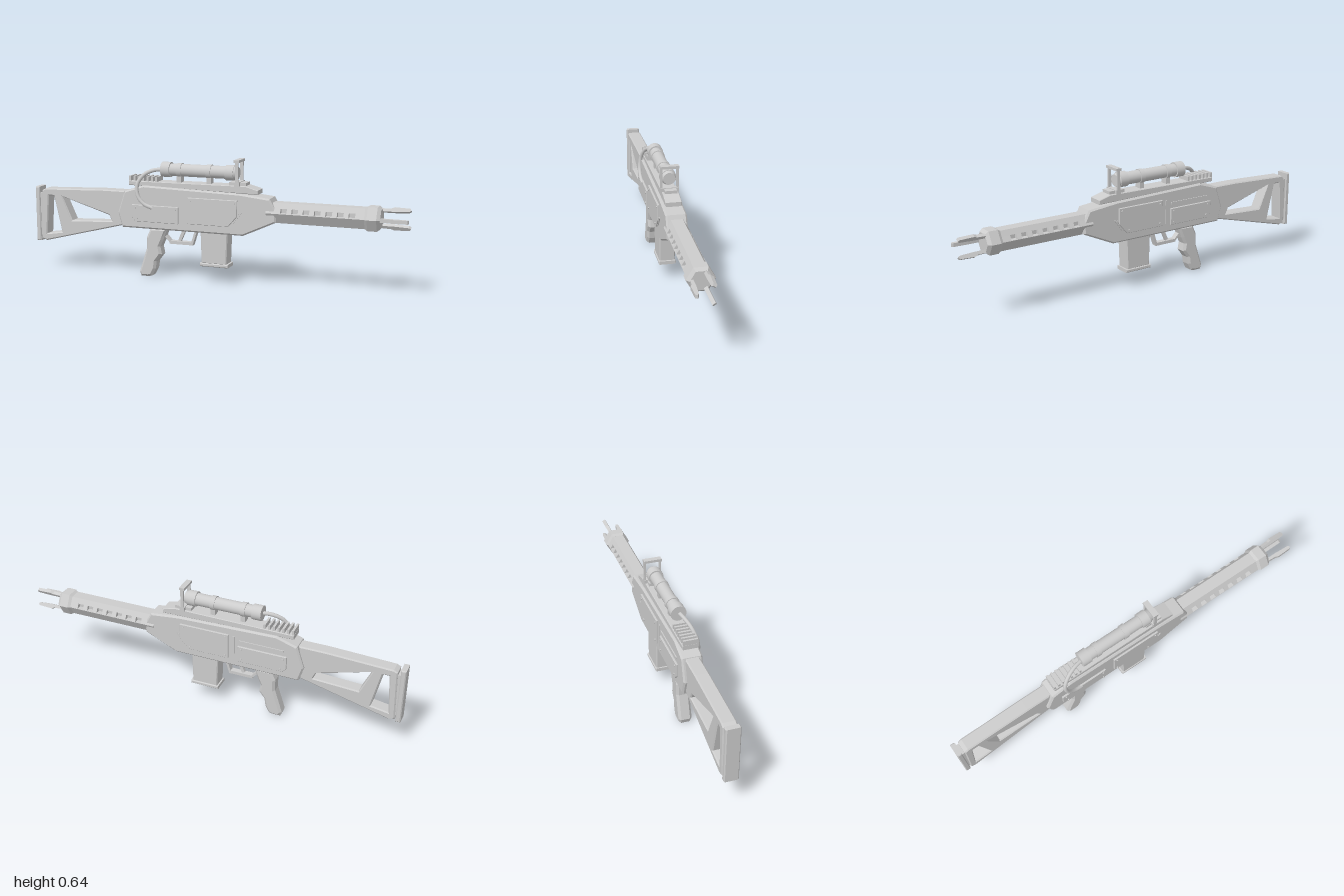
import * as THREE from 'three';

const grey = new THREE.MeshStandardMaterial({ color: 0xcccccc });
grey.name = 'light grey';

export function createModel() {
  const root = new THREE.Group();
  root.name = 'rifle';

  const add = (name, geo, x = 0, y = 0, z = 0) => {
    const m = new THREE.Mesh(geo, grey);
    m.name = name;
    m.position.set(x, y, z);
    root.add(m);
    return m;
  };
  // box given by its limits in x and y, and depth centred on z
  const box = (name, x0, x1, y0, y1, depth, z = 0) =>
    add(name, new THREE.BoxGeometry(x1 - x0, y1 - y0, depth), (x0 + x1) / 2, (y0 + y1) / 2, z);
  const path = pts => pts.map(p => new THREE.Vector2(p[0], p[1]));
  // side outline extruded along z with chamfered edges
  const slab = (name, pts, depth, bevel = 0, z = 0, holes = []) => {
    const s = new THREE.Shape(path(pts));
    holes.forEach(h => s.holes.push(new THREE.Path(path(h))));
    const g = new THREE.ExtrudeGeometry(s, {
      depth: depth - 2 * bevel, bevelEnabled: bevel > 0, bevelThickness: bevel,
      bevelSize: bevel, bevelOffset: -bevel, bevelSegments: 1, curveSegments: 6,
    });
    g.translate(0, 0, -(depth - 2 * bevel) / 2);
    return add(name, g, 0, 0, z);
  };
  // cross-section of (z, y) points extruded along x
  const prism = (name, pts, x0, x1) => {
    const s = new THREE.Shape(path(pts.map(p => [-p[0], p[1]])));
    const g = new THREE.ExtrudeGeometry(s, { depth: x1 - x0, bevelEnabled: false });
    g.rotateY(Math.PI / 2);
    return add(name, g, x0, 0, 0);
  };
  // thin bar between two points of a side view
  const bar = (name, a, b, thick, depth, z = 0) => {
    const dx = b[0] - a[0], dy = b[1] - a[1];
    const m = add(name, new THREE.BoxGeometry(Math.hypot(dx, dy) + thick * 0.5, thick, depth),
      (a[0] + b[0]) / 2, (a[1] + b[1]) / 2, z);
    m.rotation.z = Math.atan2(dy, dx);
    return m;
  };
  // cylinder lying along x
  const tube = (name, x0, x1, r0, r1, y, sides = 28) => {
    const m = add(name, new THREE.CylinderGeometry(r1, r0, x1 - x0, sides), (x0 + x1) / 2, y, 0);
    m.rotation.z = -Math.PI / 2;
    return m;
  };

  // receiver
  slab('receiver', [[-0.505, 0.336], [-0.482, 0.26], [0.18, 0.26], [0.35, 0.338], [0.35, 0.395],
    [0.318, 0.455], [0.16, 0.472], [-0.36, 0.485], [-0.467, 0.45]], 0.104, 0.008);

  // stock and butt plate
  slab('stock', [[-0.97, 0.16], [-0.94, 0.152], [-0.48, 0.268], [-0.47, 0.448], [-0.6, 0.448],
    [-0.94, 0.435], [-0.96, 0.425]], 0.07, 0.006, 0, [
    [[-0.922, 0.397], [-0.89, 0.397], [-0.847, 0.205], [-0.937, 0.19]],
    [[-0.84, 0.397], [-0.565, 0.315], [-0.55, 0.283], [-0.783, 0.272]],
  ]);
  slab('buttPlate', [[-1, 0.148], [-0.974, 0.148], [-0.974, 0.443], [-1, 0.443]], 0.072, 0.005);
  box('buttPlateSpacer', -0.98, -0.955, 0.18, 0.41, 0.056);

  // pistol grip with finger grooves
  slab('grip', [[-0.33, 0.262], [-0.24, 0.262], [-0.262, 0.2], [-0.278, 0.165], [-0.27, 0.125],
    [-0.3, 0.085], [-0.306, 0.045], [-0.325, 0.008], [-0.345, 0.002], [-0.388, 0.002], [-0.396, 0.025],
    [-0.355, 0.15], [-0.354, 0.21]], 0.068, 0.012);

  // trigger and guard
  bar('triggerGuardFront', [-0.083, 0.262], [-0.105, 0.193], 0.012, 0.03);
  bar('triggerGuardBottom', [-0.105, 0.191], [-0.225, 0.191], 0.016, 0.03);
  bar('triggerGuardRear', [-0.225, 0.193], [-0.25, 0.22], 0.01, 0.03);
  bar('trigger', [-0.15, 0.262], [-0.175, 0.205], 0.016, 0.016);

  // magazine
  slab('magazine', [[-0.05, 0.27], [-0.044, 0.1], [0.09, 0.1], [0.096, 0.27]], 0.08, 0.005);
  slab('magazineBase', [[-0.052, 0.085], [0.1, 0.085], [0.1, 0.103], [-0.052, 0.103]], 0.088, 0.004);

  // riveted side plates, mirrored on both sides
  const rearPlate = [[-0.42, 0.318], [-0.402, 0.298], [-0.163, 0.298], [-0.163, 0.385], [-0.42, 0.385]];
  const frontPlate = [[-0.112, 0.303], [0.105, 0.303], [0.152, 0.357], [0.152, 0.438], [-0.112, 0.438]];
  const rivets = [[-0.4, 0.37], [-0.18, 0.37], [-0.39, 0.315], [-0.18, 0.313],
    [-0.095, 0.422], [0.135, 0.422], [-0.095, 0.319], [0.095, 0.319]];
  for (const side of [1, -1]) {
    slab('rearPlate', rearPlate, 0.012, 0.002, side * 0.055);
    slab('frontPlate', frontPlate, 0.012, 0.002, side * 0.055);
    for (const [x, y] of rivets) {
      add('rivet', new THREE.CylinderGeometry(0.005, 0.005, 0.01, 10), x, y, side * 0.061)
        .rotation.x = Math.PI / 2;
    }
    for (const d of [0, 0.014]) {
      bar('sideVent', [0.118 + d, 0.32 + d * 0.3], [0.16 + d, 0.375 + d * 0.3], 0.006, 0.008, side * 0.052);
    }
  }
  bar('rightTrim', [-0.4, 0.412], [-0.17, 0.412], 0.01, 0.01, -0.052);
  bar('rightSeam', [-0.138, 0.31], [-0.138, 0.43], 0.01, 0.008, -0.052);

  // top rail with ridges at the rear
  slab('rail', [[-0.445, 0.482], [0.255, 0.47], [0.255, 0.492], [0.19, 0.51], [-0.445, 0.505]], 0.08, 0.003);
  box('railBlock', 0.1, 0.19, 0.5, 0.525, 0.06);
  for (let i = 0; i < 7; i++) {
    const x = -0.444 + i * 0.0245;
    box('railRidge', x, x + 0.011, 0.495, 0.53, 0.074);
  }

  // scope on two ring mounts
  const sy = 0.568;
  tube('scopeTube', -0.26, 0.13, 0.032, 0.032, sy);
  tube('scopeRearCap', -0.27, -0.222, 0.039, 0.039, sy);
  tube('scopeFrontCap', 0.078, 0.122, 0.039, 0.039, sy);
  tube('scopeLens', 0.122, 0.14, 0.036, 0.03, sy);
  for (const x of [-0.173, -0.012]) {
    tube('scopeRing', x - 0.012, x + 0.012, 0.036, 0.036, sy);
    box('scopeMount', x - 0.012, x + 0.012, 0.5, 0.545, 0.04);
  }

  // open front sight frame
  for (const side of [1, -1]) box('sightPost', 0.136, 0.152, 0.52, 0.63, 0.01, side * 0.04);
  box('sightTop', 0.13, 0.158, 0.625, 0.638, 0.092);
  box('sightBase', 0.132, 0.158, 0.505, 0.528, 0.09);

  // cable from the scope to the left side plate
  const cable = new THREE.CatmullRomCurve3([[-0.26, 0.566, 0.005], [-0.31, 0.563, 0.015], [-0.36, 0.54, 0.032],
    [-0.392, 0.49, 0.05], [-0.385, 0.43, 0.059], [-0.35, 0.39, 0.06], [-0.305, 0.372, 0.057]]
    .map(p => new THREE.Vector3(...p)));
  add('cable', new THREE.TubeGeometry(cable, 36, 0.01, 10));

  // hexagonal handguard, with a step along both upper edges
  const cy = 0.385, half = [[0.029, 0.435], [0.0435, 0.41], [0.032, 0.41], [0.032, 0.387], [0.057, 0.387],
    [0.058, 0.385], [0.029, 0.335]];
  prism('handguard', [...half, ...half.map(([z, y]) => [-z, y]).reverse()], 0.3, 0.8);
  // solid pieces that leave seven slots in the step
  const pitch = 0.0565, slot = 0.032, first = 0.374;
  for (let i = 0; i <= 7; i++) {
    const x0 = i === 0 ? 0.3 : first + (i - 1) * pitch + slot;
    const x1 = i === 7 ? 0.8 : first + i * pitch;
    for (const s of [1, -1]) {
      const wedge = [[0.032, 0.41], [0.0435, 0.41], [0.057, 0.387], [0.032, 0.387]].map(([z, y]) => [z * s, y]);
      prism('slotRib', wedge, x0, x1);
    }
  }

  // hexagonal muzzle collar with chamfered ends
  const collar = new THREE.CylinderGeometry(1, 1, 1, 6, 3).toNonIndexed();
  collar.dispose();
  const hex = new THREE.LatheGeometry(path([[0, 0], [0.058, 0], [0.067, 0.014], [0.067, 0.06], [0.052, 0.076], [0, 0.076]]), 6)
    .toNonIndexed();
  hex.computeVertexNormals();
  hex.rotateZ(-Math.PI / 2);
  add('muzzleCollar', hex, 0.788, cy, 0);

  // three muzzle prongs around the bore
  for (let i = 0; i < 3; i++) {
    const pivot = new THREE.Group();
    pivot.name = 'muzzleProng';
    pivot.position.y = cy;
    pivot.rotation.x = Math.PI / 2 + i * Math.PI * 2 / 3;
    const shape = new THREE.Shape(path([[0.84, 0.036], [0.92, 0.036], [0.99, 0.04], [1, 0.047], [0.995, 0.057],
      [0.92, 0.06], [0.905, 0.053], [0.84, 0.05]]));
    const g = new THREE.ExtrudeGeometry(shape, { depth: 0.018, bevelEnabled: false });
    g.translate(0, 0, -0.009);
    const m = new THREE.Mesh(g, grey);
    m.name = 'prong';
    pivot.add(m);
    root.add(pivot);
  }
  return root;
}
